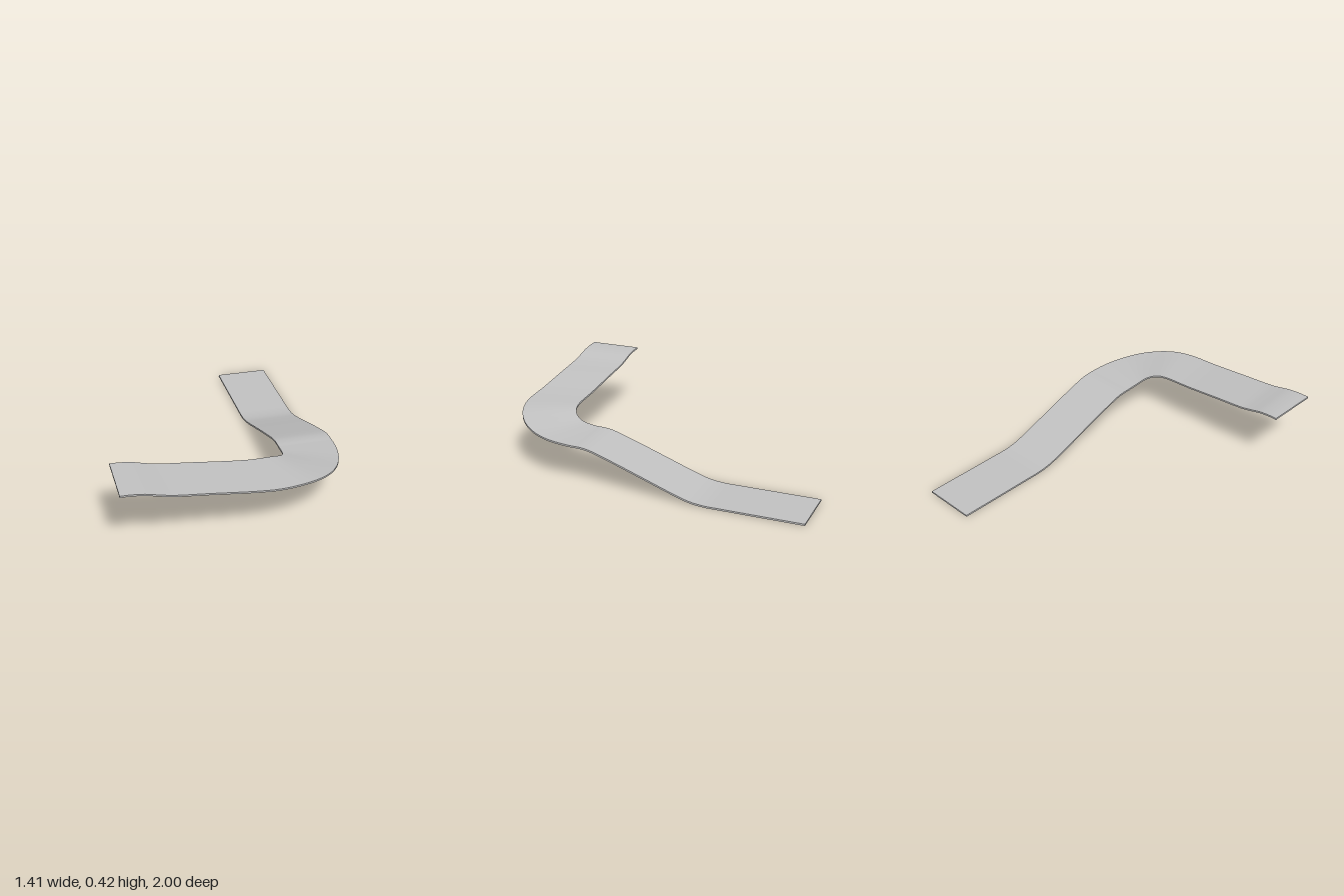
import * as THREE from 'three';

const V = (x, y, z) => new THREE.Vector3(x, y, z);
const THICK = 0.011;

// Smooth height curve, sampled as (position, height)
const heights = (pts, n) =>
  new THREE.CatmullRomCurve3(pts.map(([p, y]) => V(p, y, 0)), false, 'centripetal').getPoints(n);

// Ruled surface between two edge lines; it faces (b - a) x travel direction
function strip(a, b) {
  const pos = [], index = [];
  a.forEach((p, i) => {
    pos.push(...p.toArray(), ...b[i].toArray());
    if (i < a.length - 1) {
      const k = i * 2;
      index.push(k, k + 1, k + 3, k, k + 3, k + 2);
    }
  });
  const g = new THREE.BufferGeometry();
  g.setAttribute('position', new THREE.Float32BufferAttribute(pos, 3));
  g.setIndex(index);
  g.computeVertexNormals();
  return g;
}

export function createModel() {
  const group = new THREE.Group();
  group.name = 'curvedRamp';
  const grey = new THREE.MeshStandardMaterial({ color: 0xc0c0c0 });
  grey.name = 'grey';

  const outer = [], inner = [];

  // Upper leg, running along x
  heights([[-0.707, 0.421], [-0.65, 0.42], [-0.58, 0.412], [-0.51, 0.395], [-0.44, 0.38],
    [-0.25, 0.36], [0, 0.333], [0.1, 0.325]], 32).forEach((p, i, all) => {
    // the outer edge runs slightly further before it bends
    const ox = p.x + 0.05 * (i / (all.length - 1));
    outer.push(V(ox, p.y, 1));
    inner.push(V(p.x, p.y, 0.66));
  });

  // Corner: wide outer bend and tight inner bend, falling together
  const outerBend = new THREE.CubicBezierCurve3(V(0.15, 0, 1), V(0.48, 0, 1), V(0.707, 0, 0.8), V(0.707, 0, 0.45));
  const innerBend = new THREE.CubicBezierCurve3(V(0.1, 0, 0.66), V(0.37, 0, 0.66), V(0.36, 0, 0.58), V(0.365, 0, 0.45));
  const fall = heights([[0, 0.325], [0.25, 0.316], [0.5, 0.29], [0.75, 0.265], [1, 0.253]], 28);
  fall.slice(1).forEach(({ x: t, y }) => {
    const o = outerBend.getPoint(t), n = innerBend.getPoint(t);
    outer.push(V(o.x, y, o.z));
    inner.push(V(n.x, y, n.z));
  });

  // Slope and flat lower leg, running along -z
  heights([[0.45, 0.253], [0.4, 0.252], [0.34, 0.243], [0.2, 0.198], [0, 0.127], [-0.2, 0.055],
    [-0.3, 0.024], [-0.39, 0.012], [-0.5, 0.011], [-1, 0.011]], 44).slice(1).forEach(({ x: z, y }) => {
    outer.push(V(0.707, y, z));
    inner.push(V(0.365, y, z));
  });

  const lower = (line) => line.map((p) => V(p.x, Math.max(0, p.y - THICK), p.z));
  const outerLow = lower(outer), innerLow = lower(inner);
  const last = outer.length - 1;

  const parts = {
    topSurface: [inner, outer],
    underside: [outerLow, innerLow],
    outerEdge: [outer, outerLow],
    innerEdge: [innerLow, inner],
    upperEnd: [[innerLow[0], inner[0]], [outerLow[0], outer[0]]],
    lowerEnd: [[inner[last], innerLow[last]], [outer[last], outerLow[last]]],
  };
  for (const [name, [a, b]] of Object.entries(parts)) {
    const mesh = new THREE.Mesh(strip(a, b), grey);
    mesh.name = name;
    group.add(mesh);
  }
  return group;
}
